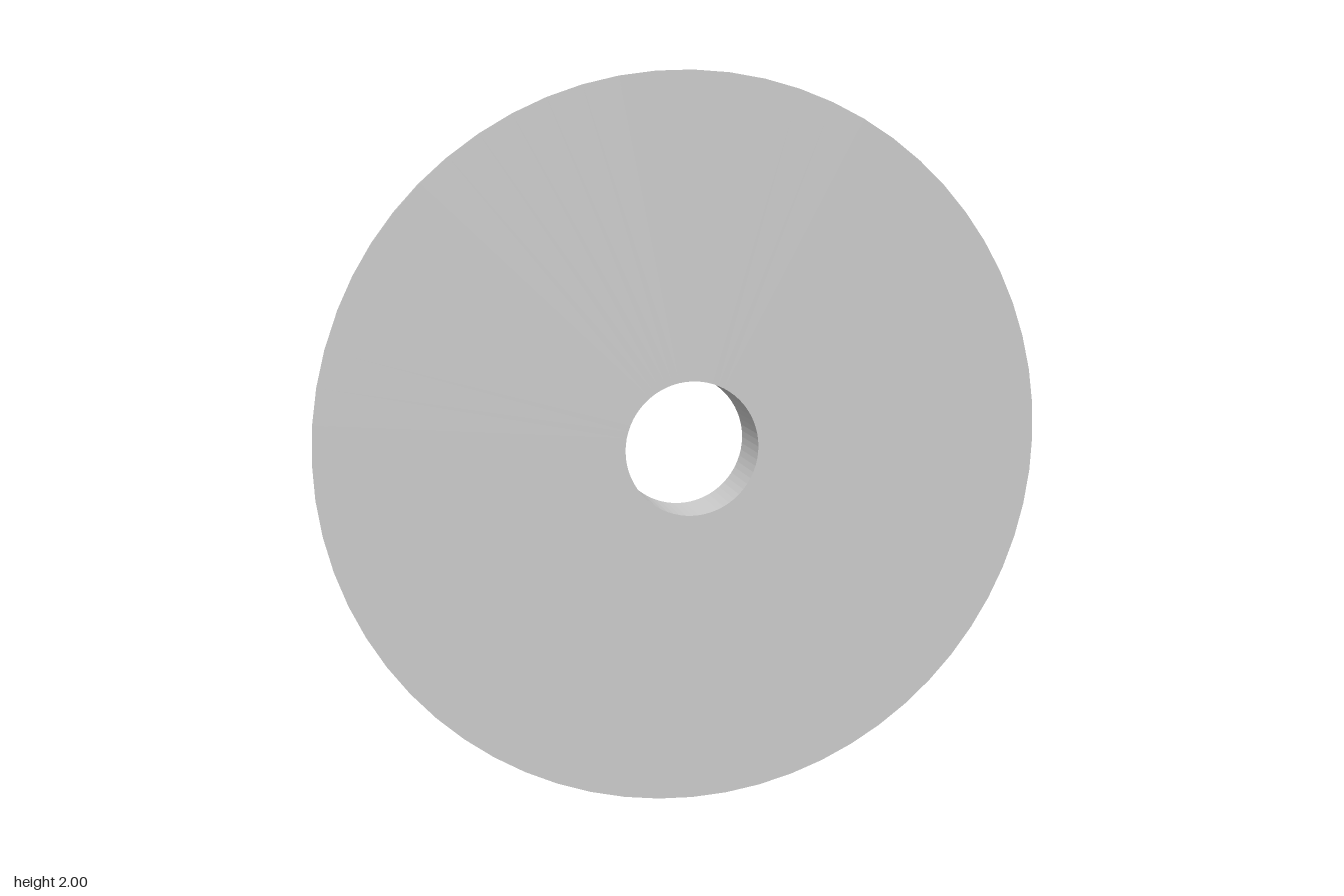
import * as THREE from 'three';

export function createModel() {
  const group = new THREE.Group();
  const material = new THREE.MeshStandardMaterial({ color: 0xcccccc, flatShading: true });

  // Closed cross-section as [radius, offset from the flat front face]
  const profile = [
    [0.185, 0],       // bore
    [0.185, -0.174],
    [0.275, -0.174],  // counterbore floor
    [0.275, -0.267],  // counterbore wall
    [0.363, -0.267],  // hub ring
    [1, -0.132],      // conical back
    [1, 0],           // rim
    [0.185, 0],       // flat front
  ].map(([r, y]) => new THREE.Vector2(r, y));

  const geometry = new THREE.LatheGeometry(profile, 64);
  geometry.rotateX(Math.PI / 2); // axis towards +z

  // Disc turned slightly about the vertical
  const disc = new THREE.Mesh(geometry, material);
  disc.name = 'disc';
  disc.rotation.y = THREE.MathUtils.degToRad(7.8);
  disc.position.set(0.009, 1, 0.088);
  group.add(disc);
  return group;
}
